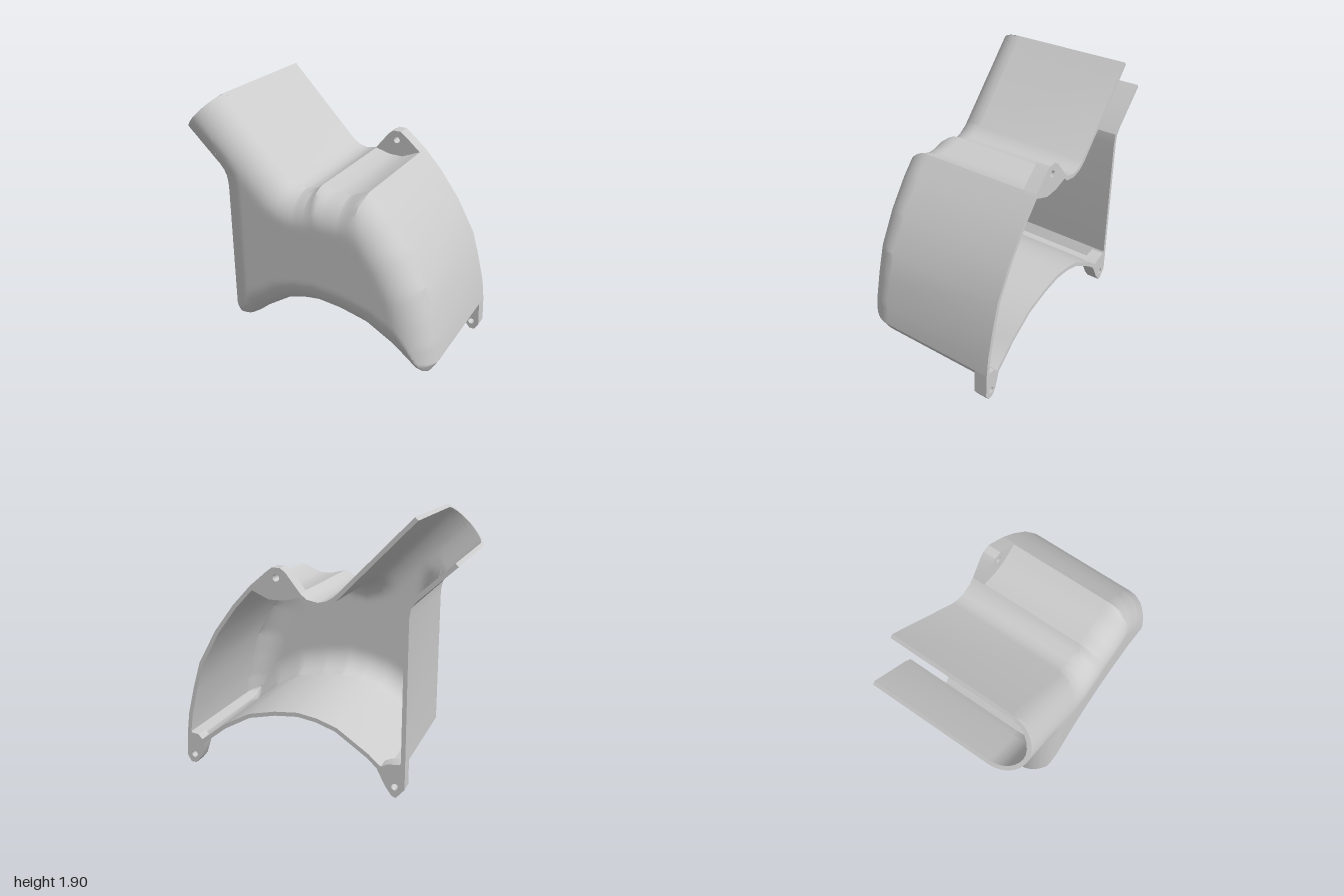
import * as THREE from 'three';
import { toCreasedNormals } from 'three/addons/utils/BufferGeometryUtils.js';

const BACK = -0.56, EDGE = 0.33, ROUND = 0.215, WALL = 0.03;

// Lower and upper outline, from the spout mouth to the right leg tip
const LOWER = [[-1, 1.61], [-0.75, 1.38], [-0.71, 1.33], [-0.7, 1.26], [-0.7, 0.25], [-0.64, 0.16],
  [-0.56, 0.16], [-0.5, 0.2], [-0.42, 0.27], [-0.2, 0.42], [-0.06, 0.468], [0.08, 0.49], [0.25, 0.475],
  [0.45, 0.43], [0.65, 0.32], [0.83, 0.18], [0.92, 0.16], [0.97, 0.25]];
const UPPER = [[-0.72, 1.9], [-0.19, 1.36], [-0.14, 1.33], [-0.08, 1.315], [0, 1.33], [0.05, 1.37],
  [0.17, 1.34], [0.27, 1.34], [0.41, 1.4], [0.55, 1.25], [0.7, 1.05], [0.84, 0.8], [0.9, 0.6], [0.95, 0.4]];
const CORNER = 4; // index of the lower end of the straight left wall
const toV = ([x, y]) => new THREE.Vector2(x, y);
const OUTER = [...LOWER, ...[...UPPER].reverse()].map(toV);

// Moves the loop inward by t, leaving the last edge (open mouth) in its plane
function inset(loop, t) {
  const n = loop.length;
  const edge = (i) => {
    const a = loop[i], d = loop[(i + 1) % n].clone().sub(a).normalize();
    const k = i === n - 1 ? 0 : t;
    return { p: new THREE.Vector2(a.x - d.y * k, a.y + d.x * k), d };
  };
  return loop.map((_, i) => {
    const e = edge((i + n - 1) % n), f = edge(i);
    const w = f.p.clone().sub(e.p);
    return e.p.clone().addScaledVector(e.d, w.cross(f.d) / e.d.cross(f.d));
  });
}

// Distance to the outline, not counting the open mouth
function distance(p, loop) {
  let best = Infinity;
  for (let i = 0; i < loop.length - 1; i++) {
    const a = loop[i], ab = loop[i + 1].clone().sub(a), ap = p.clone().sub(a);
    const s = THREE.MathUtils.clamp(ap.dot(ab) / ab.lengthSq(), 0, 1);
    best = Math.min(best, ap.addScaledVector(ab, -s).length());
  }
  return best;
}

function height(p, loop, r) {
  const d = Math.min(distance(p, loop), r);
  return EDGE + Math.sqrt(Math.max(0, r * r - (r - d) ** 2));
}

function yAt(line, x) {
  for (let i = 0; i < line.length - 1; i++) {
    const a = line[i], b = line[i + 1];
    if (x <= b.x + 1e-9) return a.y + (b.y - a.y) * THREE.MathUtils.clamp((x - a.x) / (b.x - a.x), 0, 1);
  }
  return line[line.length - 1].y;
}

function gridGeometry(columns, flip) {
  const pos = [], index = [], h = columns[0].length;
  columns.forEach((col) => col.forEach((v) => pos.push(v.x, v.y, v.z)));
  for (let i = 0; i < columns.length - 1; i++) for (let j = 0; j < h - 1; j++) {
    const a = i * h + j, b = a + h, c = b + 1, d = a + 1;
    index.push(...(flip ? [a, c, b, a, d, c] : [a, b, c, a, c, d]));
  }
  const g = new THREE.BufferGeometry();
  g.setAttribute('position', new THREE.Float32BufferAttribute(pos, 3));
  g.setIndex(index);
  return toCreasedNormals(g, 0.6);
}

// Domed front over an outline: columns from the lower to the upper edge
function dome(loop, r, flip, part) {
  const n = LOWER.length;
  const top = [loop[0], ...loop.slice(n - 1).reverse()];
  const low = part === 'spout' ? loop.slice(0, CORNER) : loop.slice(CORNER, n);
  const x0 = low[0].x, x1 = low[low.length - 1].x, count = part === 'spout' ? 18 : 60;
  const xs = [];
  for (let i = 0; i <= count; i++) xs.push(x0 + (x1 - x0) * (1 - Math.cos(Math.PI * i / count)) / 2);
  [...low, ...top].forEach((v) => { if (v.x > x0 && v.x < x1) xs.push(v.x); });
  xs.sort((a, b) => a - b);
  const clean = xs.filter((x, i) => i === 0 || x - xs[i - 1] > 1e-5);
  const columns = clean.map((x) => {
    const a = yAt(low, x), b = yAt(top, x), col = [];
    for (let j = 0; j <= 40; j++) {
      const p = new THREE.Vector2(x, a + (b - a) * (1 - Math.cos(Math.PI * j / 40)) / 2);
      col.push(new THREE.Vector3(p.x, p.y, height(p, loop, r)));
    }
    return col;
  });
  return gridGeometry(columns, flip);
}

export function createModel() {
  const group = new THREE.Group();
  const material = new THREE.MeshStandardMaterial({ color: 0xcccccc, side: THREE.DoubleSide });
  const add = (name, geometry) => {
    const mesh = new THREE.Mesh(geometry, material);
    mesh.name = name;
    group.add(mesh);
  };
  const extrude = (shape, depth) => {
    const g = new THREE.ExtrudeGeometry(shape, { depth, bevelEnabled: false, curveSegments: 12 });
    return toCreasedNormals(g.translate(0, 0, BACK), 0.5);
  };
  const inner = inset(OUTER, WALL);

  // Side walls, open at the spout mouth and at the back
  add('sideWalls', extrude(new THREE.Shape([...OUTER, ...[...inner].reverse()]), EDGE - BACK));

  // Rounded front, outside and inside
  for (const part of ['spout', 'body']) {
    add(part + 'Front', dome(OUTER, ROUND, false, part));
    add(part + 'FrontInside', dome(inner, ROUND - WALL, true, part));
  }

  // Rim closing the wall thickness around the spout mouth
  const last = OUTER.length - 1, rim = [];
  for (let i = 0; i <= 40; i++) {
    const s = (1 - Math.cos(Math.PI * i / 40)) / 2;
    rim.push([[OUTER, ROUND], [inner, ROUND - WALL]].map(([loop, r]) => {
      const p = loop[0].clone().lerp(loop[last], s);
      return new THREE.Vector3(p.x, p.y, height(p, loop, r));
    }));
  }
  add('spoutRim', gridGeometry(rim, true));

  // Screw lugs at the back edge
  const lugs = {
    topLug: [[0.22, 1.46], [[0.04, 1.36], [0.17, 1.33], [0.28, 1.33], [0.42, 1.39], [0.29, 1.5],
      [0.25, 1.53], [0.19, 1.53], [0.15, 1.5]]],
    rightLegLug: [[-0.63, 0.08], [[-0.7, 0.25], [-0.7, 0.07], [-0.64, 0], [-0.61, 0.01], [-0.56, 0.08],
      [-0.5, 0.2], [-0.58, 0.24]]],
    leftLegLug: [[0.92, 0.075], [[0.97, 0.25], [0.88, 0.24], [0.83, 0.18], [0.87, 0.06], [0.91, 0.01],
      [0.95, 0.01], [0.98, 0.06]]],
  };
  for (const [name, [hole, points]] of Object.entries(lugs)) {
    const shape = new THREE.Shape(points.map(toV));
    shape.holes.push(new THREE.Path().absarc(hole[0], hole[1], 0.024, 0, Math.PI * 2));
    add(name, extrude(shape, 0.1));
  }
  return group;
}
